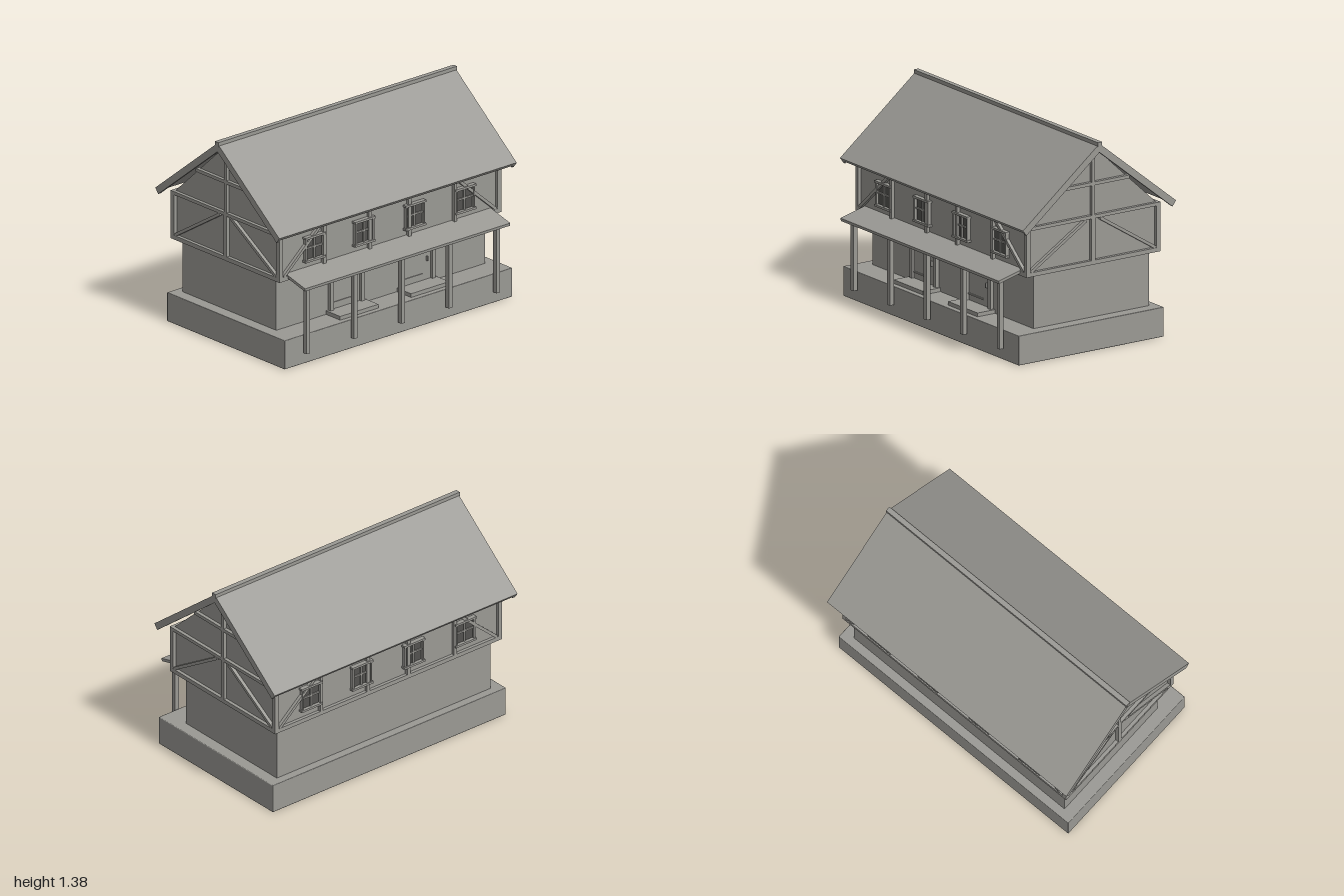
import * as THREE from 'three';
import { RoundedBoxGeometry } from 'three/addons/geometries/RoundedBoxGeometry.js';

const ZC = -0.047; // z of the ridge line

export function createModel() {
  const house = new THREE.Group();
  house.name = 'timberFramedHouse';
  const stone = new THREE.MeshStandardMaterial({ color: 0x9a9994 });
  stone.name = 'warm grey';
  const glass = new THREE.MeshStandardMaterial({ color: 0x53524f });
  glass.name = 'dark glass';

  const add = (name, geo, mat = stone, parent = house) => {
    const m = new THREE.Mesh(geo, mat);
    m.name = name;
    parent.add(m);
    return m;
  };
  // box given by its limits on each axis
  const box = (name, x0, x1, y0, y1, z0, z1, mat, parent) => {
    const m = add(name, new THREE.BoxGeometry(x1 - x0, y1 - y0, z1 - z0), mat, parent);
    m.position.set((x0 + x1) / 2, (y0 + y1) / 2, (z0 + z1) / 2);
    return m;
  };
  // profile of [z, y] points extruded along x
  const prism = (name, pts, x0, x1) => {
    const shape = new THREE.Shape(pts.map(p => new THREE.Vector2(...p)));
    const geo = new THREE.ExtrudeGeometry(shape, { depth: x1 - x0, bevelEnabled: false });
    geo.rotateY(-Math.PI / 2).translate(x1, 0, 0);
    return add(name, geo);
  };
  // slanted timber in a wall plane, in local u (across), v (up), w (out)
  const brace = (name, u0, v0, u1, v1, w, parent) => {
    const m = add(name, new THREE.BoxGeometry(Math.hypot(u1 - u0, v1 - v0), 0.02, 0.024), stone, parent);
    m.position.set((u0 + u1) / 2, (v0 + v1) / 2, w - 0.012);
    m.rotation.z = Math.atan2(v1 - v0, u1 - u0);
  };

  // plinth and ground floor
  const plinth = add('plinth', new RoundedBoxGeometry(1.91, 0.195, 1.12, 1, 0.005));
  plinth.position.set(0, 0.0975, -0.012);
  box('groundFloorWalls', -0.875, 0.875, 0.19, 0.57, -0.515, 0.377);

  // upper floor and gable infill
  prism('upperWalls', [
    [ZC + 0.495, 0.56], [ZC + 0.495, 0.88], [ZC, 1.338], [ZC - 0.495, 0.88], [ZC - 0.495, 0.56],
  ], -0.907, 0.907);

  // long walls: frame, braces and windows, front and back
  const W = 0.517;
  for (const side of [1, -1]) {
    const wall = new THREE.Group();
    wall.name = side > 0 ? 'frontTimbering' : 'backTimbering';
    wall.position.z = ZC;
    wall.rotation.y = side > 0 ? 0 : Math.PI;
    house.add(wall);
    const bar = (n, x0, x1, y0, y1, d = 0.03) => box(n, x0, x1, y0, y1, W - d, W, stone, wall);
    bar('topRail', -0.93, 0.93, 0.858, 0.88);
    bar('bottomRail', -0.93, 0.93, 0.556, 0.584);
    for (const s of [-1, 1]) {
      bar('cornerPost', s * 0.915 - 0.015, s * 0.915 + 0.015, 0.556, 0.88);
      for (const x of [0.548, 0.165]) bar('wallPost', s * x - 0.012, s * x + 0.012, 0.58, 0.86);
      brace('cornerBrace', s * 0.89, 0.585, s * 0.58, 0.855, W, wall);
    }
    for (const x of [-0.63, -0.215, 0.21, 0.63]) {
      const win = new THREE.Group();
      win.name = 'window';
      win.position.x = x;
      wall.add(win);
      const w = (n, a, b, c, d, z1) => box(n, a, b, c, d, W - 0.025, z1, stone, win);
      box('glassPane', -0.075, 0.075, 0.64, 0.795, W - 0.022, W - 0.015, glass, win);
      w('sill', -0.085, 0.085, 0.634, 0.648, W + 0.008);
      w('lintel', -0.085, 0.085, 0.79, 0.804, W + 0.008);
      for (const s of [-1, 1]) w('jamb', s * 0.073 - 0.005, s * 0.073 + 0.005, 0.64, 0.8, W + 0.003);
      w('mullion', -0.006, 0.006, 0.64, 0.8, W - 0.006);
      w('glazingBar', -0.073, 0.073, 0.719, 0.73, W - 0.006);
    }
  }

  // end walls: frame, braces and gable timbers
  for (const side of [1, -1]) {
    const end = new THREE.Group();
    end.name = side > 0 ? 'leftGableTimbering' : 'rightGableTimbering';
    end.position.z = ZC;
    end.rotation.y = side * Math.PI / 2;
    house.add(end);
    const bar = (n, u0, u1, y0, y1) => box(n, u0, u1, y0, y1, 0.9, 0.93, stone, end);
    bar('topRail', -W, W, 0.858, 0.88);
    bar('bottomRail', -W, W, 0.556, 0.584);
    bar('middlePost', -0.014, 0.014, 0.556, 0.88);
    bar('kingPost', -0.012, 0.012, 0.88, 1.33);
    bar('collarBeam', -0.279, 0.279, 1.075, 1.097);
    for (const s of [-1, 1]) {
      bar('cornerPost', s * 0.501 - 0.016, s * 0.501 + 0.016, 0.556, 0.88);
      brace('endBrace', s * 0.48, 0.587, s * 0.055, 0.853, 0.93, end);
    }
  }

  // roof slopes, verge boards and ridge beam
  const slope = (s, t) => [
    [ZC, 1.365], [ZC + s * 0.59, 0.893], [ZC + s * (0.59 - t * 0.6), 0.893 - t * 0.8], [ZC, 1.365 - t * 1.27],
  ];
  for (const s of [1, -1]) {
    prism(s > 0 ? 'frontRoof' : 'backRoof', slope(s, 0.026), -0.994, 0.994);
    for (const x of [-0.985, 0.985]) prism('vergeBoard', slope(s, 0.045), x - 0.01, x + 0.01);
  }
  box('ridgeBeam', -1, 1, 1.347, 1.375, ZC - 0.017, ZC + 0.017);

  // porch canopy and posts
  prism('porchCanopy', [[0.635, 0.547], [0.632, 0.528], [0.44, 0.577], [0.44, 0.597]], -0.86, 0.86);
  for (let i = -2; i <= 2; i++) {
    const x = i * 0.3975;
    box('porchPost', x - 0.015, x + 0.015, 0.08, 0.545, 0.562, 0.593);
  }

  // doors with frames, hinges, handles and steps
  for (const x of [-0.297, 0.297]) {
    const door = new THREE.Group();
    door.name = 'door';
    door.position.x = x;
    house.add(door);
    const b = (n, ...d) => box(n, ...d, stone, door);
    b('doorLeaf', -0.117, 0.117, 0.2, 0.55, 0.37, 0.384);
    for (const s of [-1, 1]) b('doorJamb', s * 0.129 - 0.014, s * 0.129 + 0.014, 0.195, 0.565, 0.37, 0.402);
    b('doorHead', -0.143, 0.143, 0.535, 0.565, 0.37, 0.402);
    for (const y of [0.262, 0.475]) b('strapHinge', -0.115, 0.045, y - 0.005, y + 0.005, 0.38, 0.39);
    b('handle', 0.078, 0.087, 0.345, 0.377, 0.38, 0.396);
    b('doorStep', -0.16, 0.16, 0.19, 0.22, 0.375, 0.512);
  }
  return house;
}
